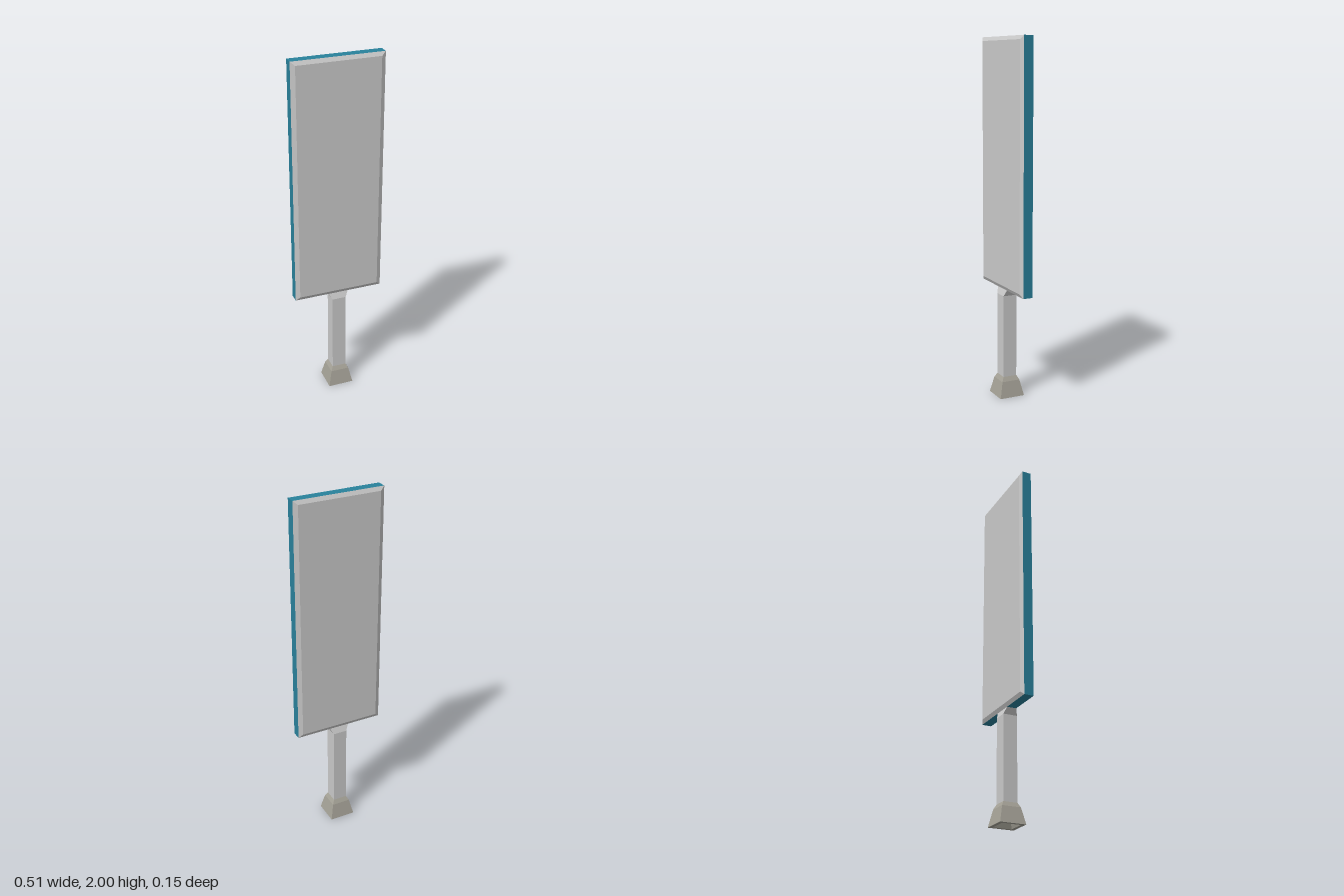
import * as THREE from 'three';

const grey = new THREE.MeshStandardMaterial({ color: 0xcccccc, flatShading: true });
const blue = new THREE.MeshStandardMaterial({ color: 0x29829c, flatShading: true });
const stone = new THREE.MeshStandardMaterial({ color: 0xa5a297, flatShading: true });

// Rectangular loft along y; each section is [y, half width, half depth]
function loft(name, material, sections, capStart = true, capEnd = true) {
  const rings = sections.map(([y, w, d]) => [[w, y, d], [w, y, -d], [-w, y, -d], [-w, y, d]]);
  const pos = [];
  const quad = (a, b, c, d) => pos.push(...a, ...b, ...c, ...a, ...c, ...d);
  for (let i = 0; i < rings.length - 1; i++) {
    for (let k = 0; k < 4; k++) {
      const n = (k + 1) % 4;
      quad(rings[i][k], rings[i][n], rings[i + 1][n], rings[i + 1][k]);
    }
  }
  if (capStart) quad(...[...rings[0]].reverse());
  if (capEnd) quad(...rings[rings.length - 1]);
  const geo = new THREE.BufferGeometry();
  geo.setAttribute('position', new THREE.Float32BufferAttribute(pos, 3));
  geo.computeVertexNormals();
  const mesh = new THREE.Mesh(geo, material);
  mesh.name = name;
  return mesh;
}

export function createModel() {
  const model = new THREE.Group();
  model.name = 'signPost';

  // Flared foot with a hollow underside
  model.add(loft('foot', stone, [
    [0.1, 0.025, 0.025], [0, 0.053, 0.053], [0, 0.073, 0.073],
    [0.09, 0.053, 0.053], [0.115, 0.04, 0.04],
  ], true, false));

  // Square post, widening sideways under the panel
  model.add(loft('post', grey, [
    [0.105, 0.04, 0.04], [0.585, 0.04, 0.04], [0.62, 0.057, 0.027],
  ]));

  // Sign panel: coloured edge band and a bevelled face on both sides
  const panel = new THREE.Group();
  panel.name = 'signPanel';
  const w = 0.256, h = 0.69, inset = 0.024, edge = 0.027, face = 0.038;
  panel.add(loft('edgeBand', blue, [[-edge, w, h], [edge, w, h]], false, false));
  for (const [name, turn] of [['frontFace', 0], ['backFace', Math.PI]]) {
    const mesh = loft(name, grey, [[edge, w, h], [face, w - inset, h - 0.021]], false, true);
    mesh.rotation.z = turn;
    panel.add(mesh);
  }
  panel.rotation.x = Math.PI / 2;
  panel.position.y = 2 - h;
  model.add(panel);

  return model;
}
